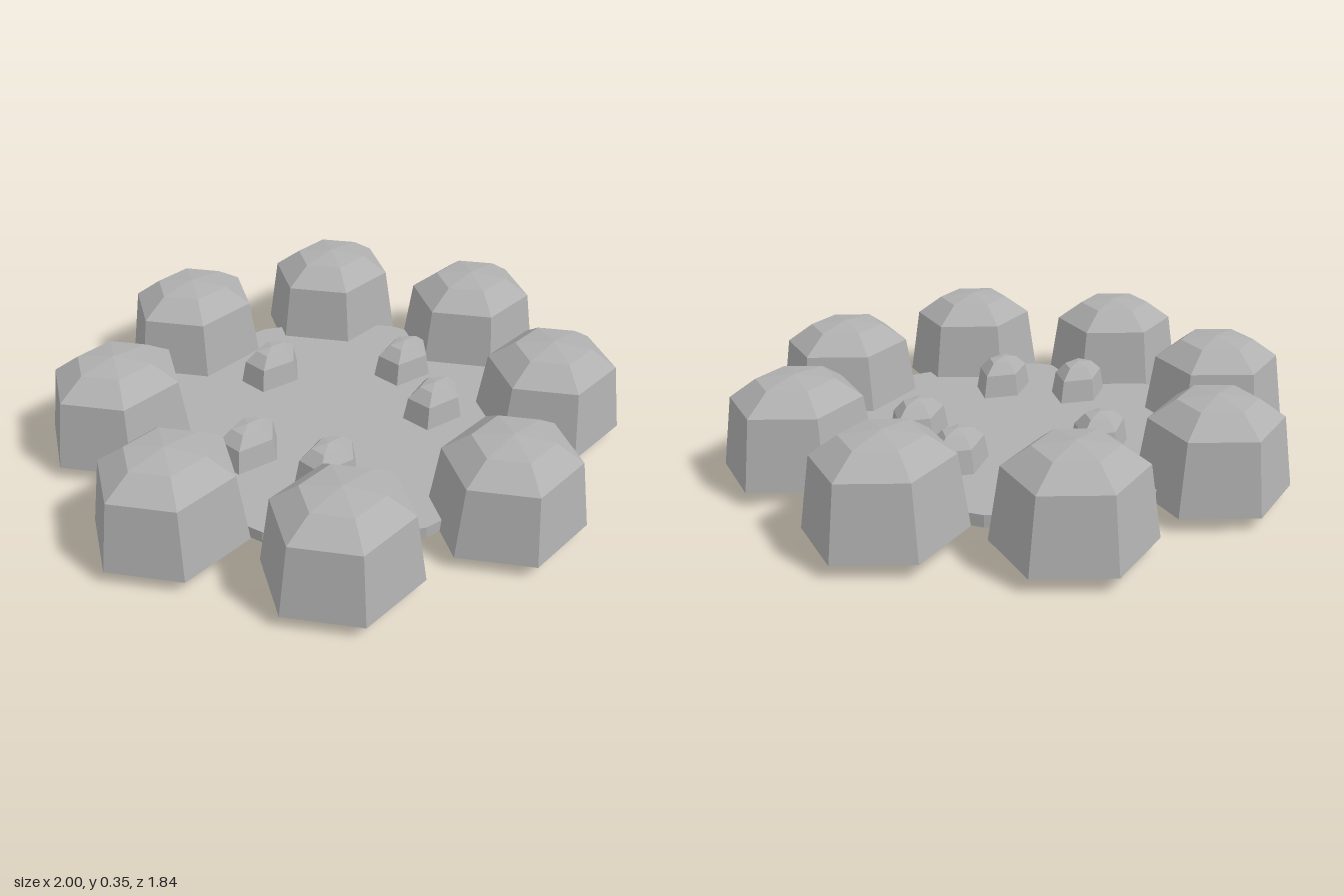
import * as THREE from 'three';

const stone = new THREE.MeshStandardMaterial({ color: 0xb0b0b0, flatShading: true });
stone.name = 'grey stone';

// Faceted stone: profile of [radius, y] turned around, one corner on +x, squashed in z
function makeStone(name, profile, sides, rx, rz) {
  const points = profile.map(([r, y]) => new THREE.Vector2(r, y));
  const geometry = new THREE.LatheGeometry(points, sides, Math.PI / 2);
  geometry.scale(rx, 1, rz);
  const mesh = new THREE.Mesh(geometry, stone);
  mesh.name = name;
  return mesh;
}

export function createModel() {
  const group = new THREE.Group();
  group.name = 'stoneRing';

  // Thin round slab in the middle
  const slab = new THREE.Mesh(new THREE.CylinderGeometry(0.645, 0.645, 0.04, 16), stone);
  slab.name = 'slab';
  slab.position.y = 0.065;
  group.add(slab);

  // Ring of eight large six-sided stones, all facing the same way
  const bigProfile = [[0, 0], [1, 0.045], [0.86, 0.277], [0.51, 0.338], [0, 0.355]];
  for (let i = 0; i < 8; i++) {
    const a = (i * Math.PI) / 4;
    const rock = makeStone('ringStone', bigProfile, 6, 0.262, 0.241);
    rock.position.set(0.738 * Math.cos(a), 0, 0.712 * Math.sin(a));
    group.add(rock);
  }

  // Five small five-sided pebbles lying on the slab
  const smallProfile = [[0, 0.08], [1, 0.1], [0.86, 0.177], [0.5, 0.213], [0, 0.222]];
  const spots = [[0.02, -0.325], [-0.363, -0.045], [-0.267, 0.215], [0.367, -0.005], [0.229, 0.243]];
  for (const [x, z] of spots) {
    const pebble = makeStone('pebble', smallProfile, 5, 0.124, 0.09);
    pebble.position.set(x, 0, z);
    group.add(pebble);
  }
  return group;
}
